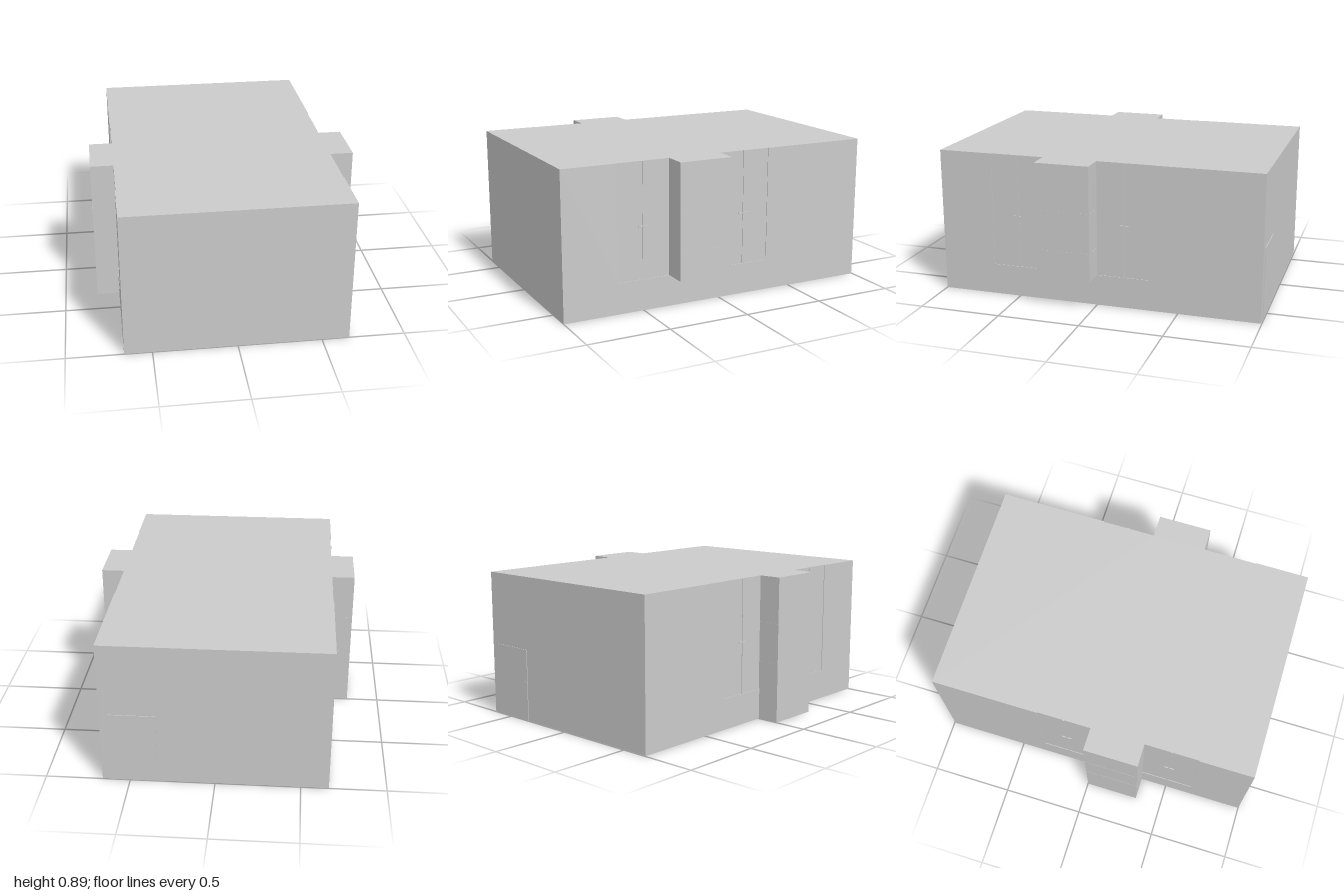
import * as THREE from 'three';

const W = 0.664, H = 0.89, SILL = 0.19, BACK = -0.995, FRONT = 1;
const BAY_OUT = 0.8, BAY_DEPTH = 0.333, RECESS = 0.004;

export function createModel() {
  const model = new THREE.Group();
  const material = new THREE.MeshStandardMaterial({ color: 0xcccccc, flatShading: true });

  // Box given by its two extreme corners
  function box(name, [x0, y0, z0], [x1, y1, z1], parent = model) {
    const mesh = new THREE.Mesh(
      new THREE.BoxGeometry(Math.abs(x1 - x0), y1 - y0, z1 - z0), material);
    mesh.position.set((x0 + x1) / 2, (y0 + y1) / 2, (z0 + z1) / 2);
    mesh.name = name;
    parent.add(mesh);
    return mesh;
  }

  // Plan outline with shallow window recesses along both long walls
  const recesses = [[-0.333, 0], [0.333, 0.667]];
  const side = [[W, BACK]];
  for (const [a, b] of recesses) {
    side.push([W, a], [W - RECESS, a], [W - RECESS, b], [W, b]);
  }
  side.push([W, FRONT]);
  const outline = [...side, ...side.slice().reverse().map(([x, z]) => [-x, z])];
  const plan = new THREE.Shape(outline.map(([x, z]) => new THREE.Vector2(x, -z)));
  const wallGeometry = new THREE.ExtrudeGeometry(plan, { depth: H - SILL, bevelEnabled: false });
  wallGeometry.rotateX(-Math.PI / 2);
  const walls = new THREE.Mesh(wallGeometry, material);
  walls.name = 'upperWalls';
  walls.position.y = SILL;
  model.add(walls);

  // Plain base below the sills
  box('lowerWalls', [-W, 0, BACK], [W, SILL, FRONT]);

  for (const s of [1, -1]) {
    const wing = new THREE.Group();
    wing.name = s > 0 ? 'leftSide' : 'rightSide';
    model.add(wing);

    // Projecting bay: raised on one side, down to the ground on the other
    const bottom = s > 0 ? SILL : 0;
    box('bay', [s * (W - 0.02), bottom, 0], [s * BAY_OUT, H, BAY_DEPTH], wing);

    // Hairline trims across the bay
    for (const y of [0.363, 0.606]) {
      box('bayTrim', [s * W, y - 0.002, -0.001], [s * (BAY_OUT + 0.001), y + 0.002, BAY_DEPTH], wing);
    }

    // Centre post and handles in each recess
    for (const [a, b] of recesses) {
      const z = (a + b) / 2;
      box('centrePost', [s * (W - 0.01), SILL, z - 0.004], [s * W, H, z + 0.004], wing);
      for (const d of [-0.018, 0.018]) {
        box('windowHandle', [s * (W - 0.01), 0.505, z + d - 0.014], [s * (W + 0.002), 0.513, z + d + 0.014], wing);
      }
    }
  }

  // Back door with a small knob
  box('backDoor', [0.338, 0, -0.999], [0.61, 0.445, BACK + 0.01]);
  const knob = new THREE.Mesh(new THREE.CylinderGeometry(0.006, 0.006, 0.006, 12), material);
  knob.name = 'doorKnob';
  knob.rotation.x = Math.PI / 2;
  knob.position.set(0.36, 0.24, -0.998);
  model.add(knob);

  return model;
}
